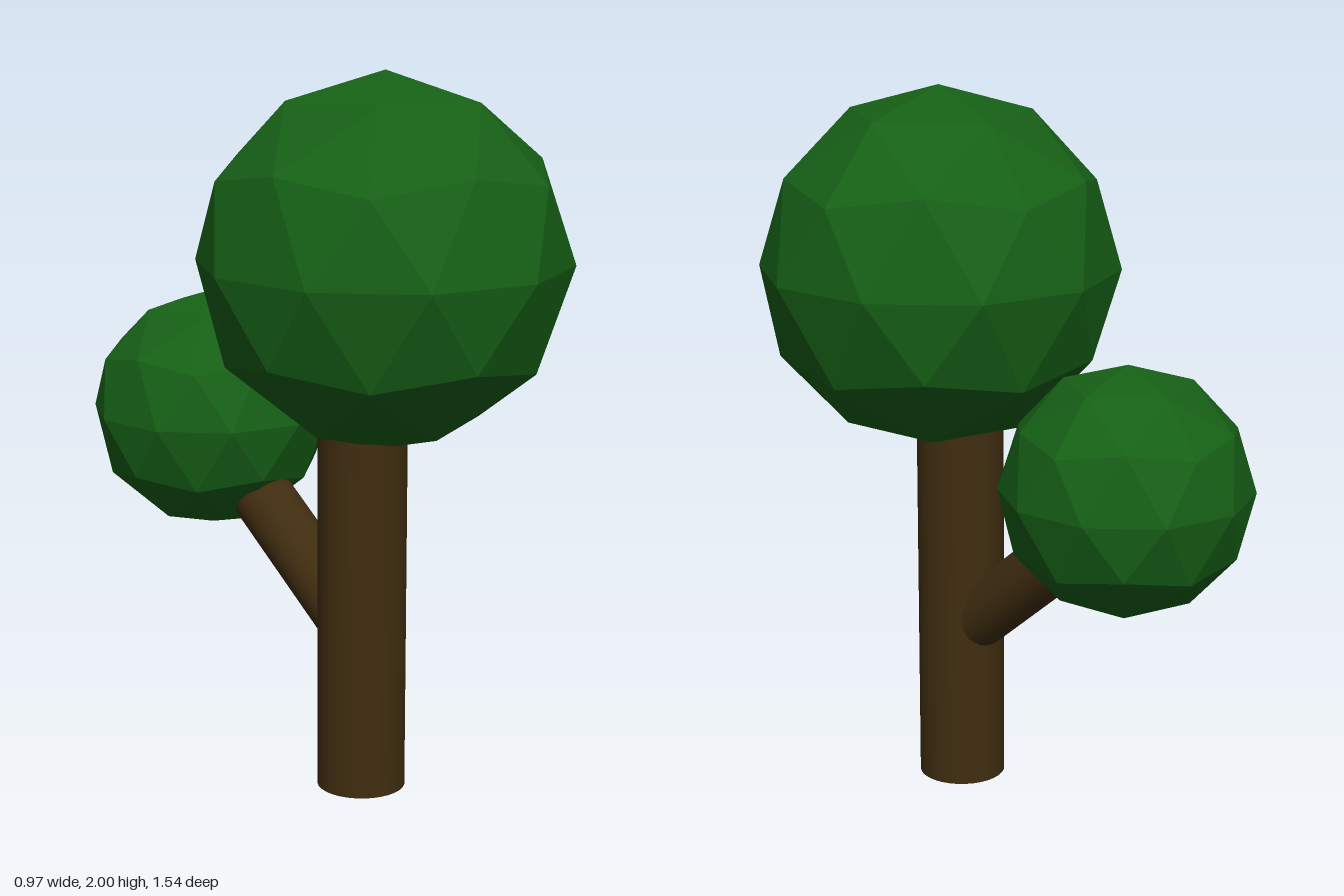
import * as THREE from 'three';

const bark = new THREE.MeshStandardMaterial({ color: 0x402d10 });
const leaf = new THREE.MeshStandardMaterial({ color: 0x166016, flatShading: true });

// Low-poly ball of leaves, turned so that one corner is the top pole
function crown(name, radius, x, y, z) {
  const geometry = new THREE.IcosahedronGeometry(radius, 1);
  geometry.rotateX(-Math.atan((1 + Math.sqrt(5)) / 2));
  geometry.rotateY(Math.PI / 2);
  const mesh = new THREE.Mesh(geometry, leaf);
  mesh.name = name;
  mesh.position.set(x, y, z);
  return mesh;
}

// Round piece of wood between two points
function limb(name, radius, from, to) {
  const axis = to.clone().sub(from);
  const mesh = new THREE.Mesh(new THREE.CylinderGeometry(radius, radius, axis.length(), 32), bark);
  mesh.name = name;
  mesh.position.copy(from).add(to).multiplyScalar(0.5);
  mesh.quaternion.setFromUnitVectors(new THREE.Vector3(0, 1, 0), axis.normalize());
  return mesh;
}

export function createModel() {
  const tree = new THREE.Group();
  tree.name = 'tree';
  tree.add(
    limb('trunk', 0.123, new THREE.Vector3(0, 0, 0.19), new THREE.Vector3(0, 1.3, 0.19)),
    limb('branch', 0.088, new THREE.Vector3(0, 0.43, 0.19), new THREE.Vector3(0.03, 0.9, -0.375)),
    crown('mainCrown', 0.508, 0, 1.492, 0.262),
    crown('branchCrown', 0.345, 0.041, 0.985, -0.428),
  );
  return tree;
}
